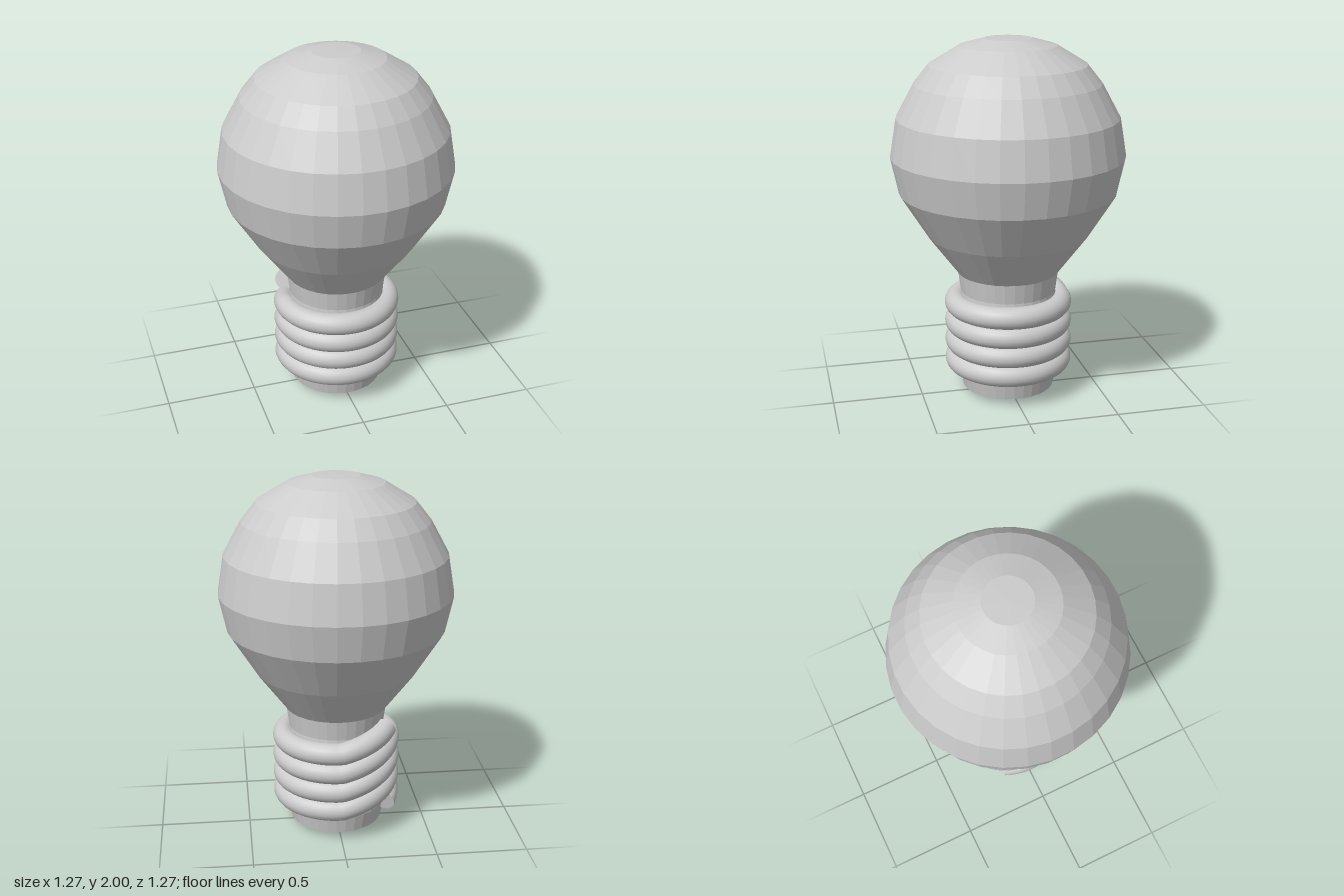
import * as THREE from 'three';

const SIDES = 32;
const TURNS = 4;
const PITCH = 0.112;

// Screw thread path: level for three quarters of each turn, climbing in the back right quarter
class ThreadCurve extends THREE.Curve {
  getPoint(t, target = new THREE.Vector3()) {
    const start = 0.68 / 4;                       // turn fraction, measured from the back
    const turn = start + t * TURNS;
    const whole = Math.floor(turn);
    const climb = Math.min((turn - whole) * 4, 1);
    const a = turn * Math.PI * 2;
    return target.set(-0.295 * Math.sin(a), 0.083 + (whole + climb) * PITCH, -0.295 * Math.cos(a));
  }
}

function lathe(name, profile, material) {
  const points = profile.map(([r, y]) => new THREE.Vector2(r, y));
  const geometry = new THREE.LatheGeometry(points, SIDES, Math.PI / SIDES);
  const mesh = new THREE.Mesh(geometry, material);
  mesh.name = name;
  return mesh;
}

export function createModel() {
  const group = new THREE.Group();
  group.name = 'lightBulb';
  const faceted = new THREE.MeshStandardMaterial({ color: 0xcccccc, flatShading: true });
  const smooth = new THREE.MeshStandardMaterial({ color: 0xcccccc });

  // Glass bulb with its neck
  group.add(lathe('glassBulb', [
    [0.265, 0.6], [0.28, 0.71], [0.445, 0.93], [0.595, 1.17], [0.638, 1.37], [0.603, 1.58],
    [0.505, 1.76], [0.425, 1.86], [0.262, 1.96], [0.128, 1.997], [0, 2],
  ], faceted));

  // Socket core and bottom contact
  group.add(lathe('socketBase', [
    [0, 0], [0.16, 0.006], [0.257, 0.035], [0.275, 0.13], [0.275, 0.5], [0.265, 0.6],
  ], faceted));

  // Round screw thread
  const curve = new ThreadCurve();
  const radius = 0.061;
  const thread = new THREE.Mesh(new THREE.TubeGeometry(curve, 256, radius, 20), smooth);
  thread.name = 'screwThread';
  group.add(thread);

  // Flat caps on both thread ends
  for (const [t, sign] of [[0, -1], [1, 1]]) {
    const cap = new THREE.Mesh(new THREE.CircleGeometry(radius, 20), smooth);
    cap.name = t ? 'threadTopEnd' : 'threadBottomEnd';
    const direction = curve.getTangent(t).multiplyScalar(sign);
    cap.position.copy(curve.getPoint(t));
    cap.quaternion.setFromUnitVectors(new THREE.Vector3(0, 0, 1), direction);
    group.add(cap);
  }
  return group;
}
